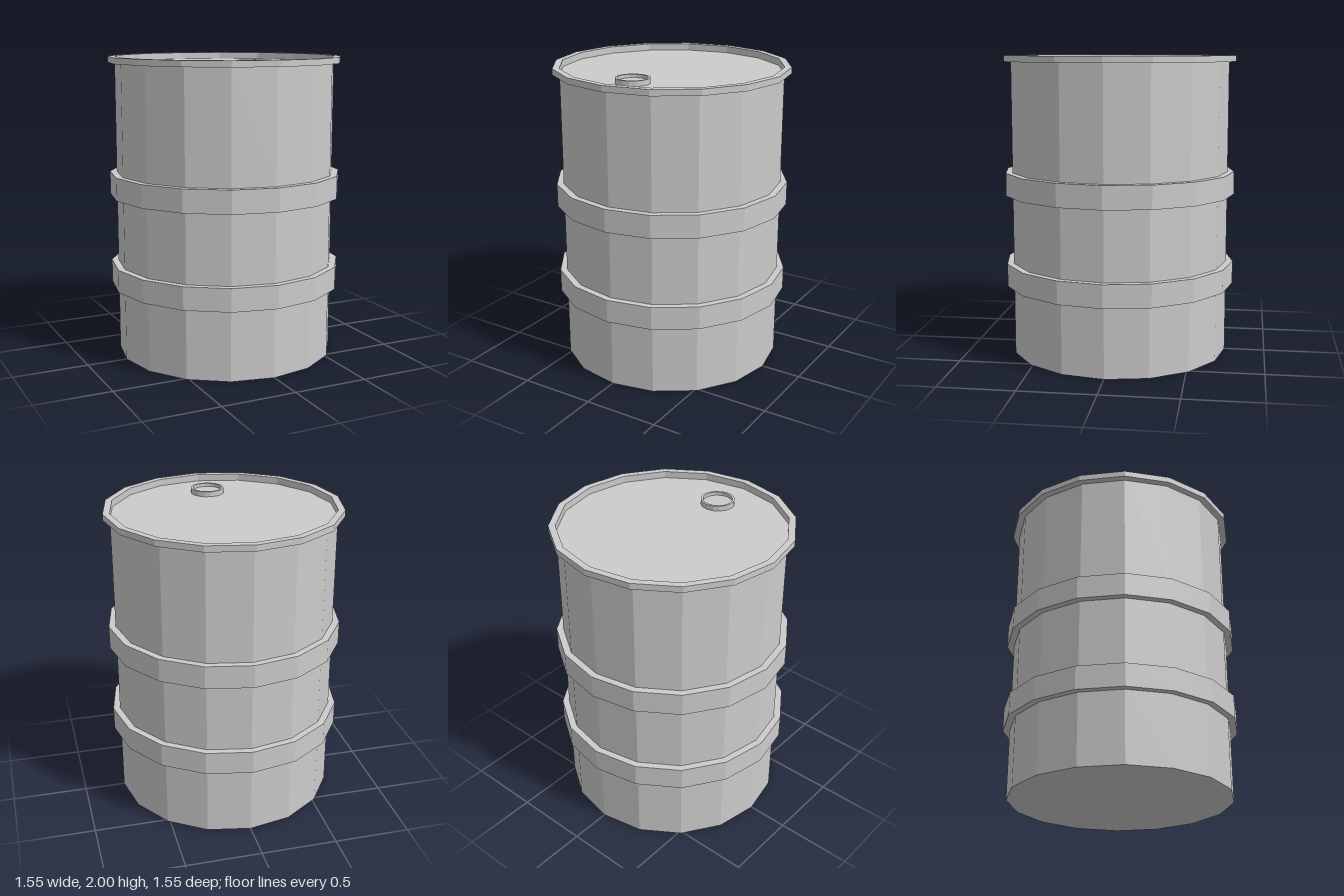
import * as THREE from 'three';

const SIDES = 16;
const material = new THREE.MeshStandardMaterial({ color: 0xcccccc, flatShading: true });

// Faceted solid of revolution from [radius, height] pairs
function turned(name, profile) {
  const points = profile.map(([r, y]) => new THREE.Vector2(r, y));
  const geometry = new THREE.LatheGeometry(points, SIDES).toNonIndexed();
  geometry.computeVertexNormals();
  const mesh = new THREE.Mesh(geometry, material);
  mesh.name = name;
  return mesh;
}

export function createModel() {
  const group = new THREE.Group();
  group.name = 'drum';

  const body = 0.73, outer = 0.775, lidY = 1.955;

  // Shell: base, wall with two raised hoops, then the overhanging rim
  const profile = [[0, 0], [body, 0]];
  for (const [low, high] of [[0.467, 0.62], [1.08, 1.232]]) {
    profile.push([body, low], [outer, low], [outer, high], [body, high]);
  }
  profile.push([body, 1.96], [outer, 1.96], [outer, 2], [body, 2], [body, lidY]);
  group.add(turned('shell', profile));

  // Recessed lid
  group.add(turned('lid', [[body, lidY], [0, lidY]]));

  // Bung cap with a raised lip, near the front edge of the lid
  const cap = turned('bungCap', [[0.111, 0], [0.111, 0.034], [0.096, 0.034], [0.096, 0.012], [0, 0.012]]);
  cap.position.set(0, lidY, 0.447);
  group.add(cap);

  return group;
}
